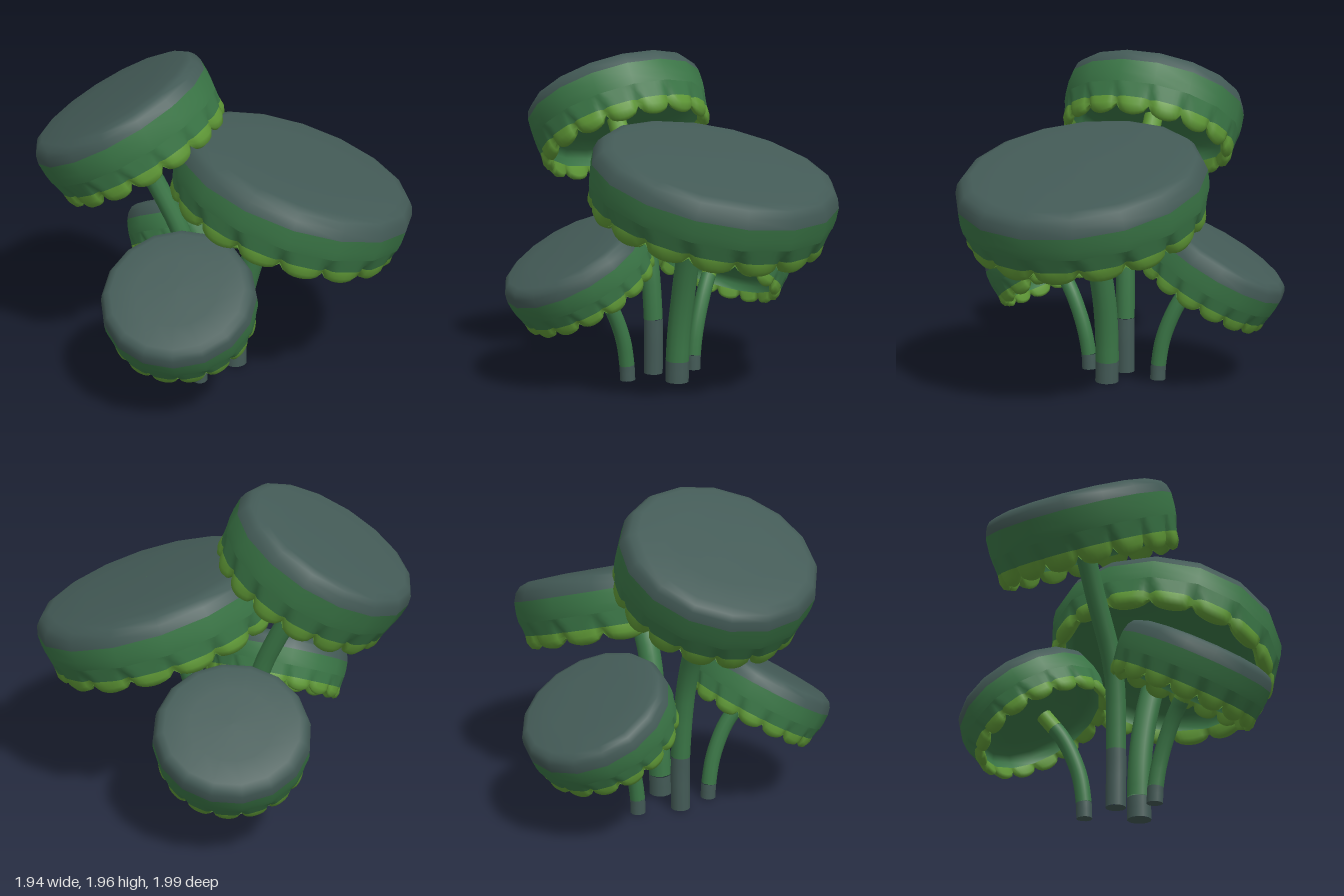
import * as THREE from 'three';

const mat = (name, color, side = THREE.FrontSide) => {
  const m = new THREE.MeshStandardMaterial({ color, side });
  m.name = name;
  return m;
};

const SIDES = 16;       // sides of each cap, one scallop per side
const PHASE = 0.07;

// Loft closed rings; each row is a function of lobe (0 at notches, 1 mid-scallop) giving [radius, height]
function loft(R, rows, steps) {
  const n = SIDES * steps, pos = [], idx = [];
  for (const row of rows) {
    for (let j = 0; j < n; j++) {
      const a = (j / n) * Math.PI * 2 + PHASE;
      const u = (j % steps) / steps;
      const polygon = Math.cos(Math.PI / SIDES) / Math.cos((u - 0.5) * 2 * Math.PI / SIDES);
      const [r, y] = row(Math.sin(u * Math.PI));
      pos.push(r * R * polygon * Math.cos(a), y, r * R * polygon * Math.sin(a));
    }
  }
  for (let i = 0; i < rows.length - 1; i++) {
    for (let j = 0; j < n; j++) {
      const k = (j + 1) % n;
      const a = i * n + j, b = i * n + k, c = a + n, d = b + n;
      idx.push(a, b, c, b, d, c);
    }
  }
  const g = new THREE.BufferGeometry();
  g.setAttribute('position', new THREE.Float32BufferAttribute(pos, 3));
  g.setIndex(idx);
  g.computeVertexNormals();
  return g;
}

function add(parent, name, geometry, material) {
  const m = new THREE.Mesh(geometry, material);
  m.name = name;
  parent.add(m);
  return m;
}

// Tilted cap: domed crown, green wall, scalloped rim and hollow underside
function makeCap({ R, h, crown, center, axis }, mats) {
  const cap = new THREE.Group();
  cap.name = 'cap';
  const notch = (lobe, depth) => depth * Math.pow(1 - lobe, 3);
  const drop = (lobe) => -h * (0.83 + 0.17 * Math.sqrt(lobe));
  const plain = (points) => points.map((p) => () => p);

  add(cap, 'crown', loft(R, plain([
    [0.001, crown], [0.55, crown * 0.98], [0.86, crown * 0.87], [0.94, crown * 0.66], [0.985, crown * 0.3], [1.01, -0.022],
  ]), 1), mats.slate);

  add(cap, 'wall', loft(R, plain([[1.01, -0.022], [1.012, -h * 0.3], [1.003, -h * 0.46]]), 1), mats.green);

  // notches cut up into the wall between the scallops
  add(cap, 'notchedWall', loft(R, [
    () => [1.003, -h * 0.46],
    (l) => [0.995 - notch(l, 0.02), -h * 0.58],
    (l) => [0.985 - notch(l, 0.055), -h * 0.72],
  ], 8), mats.green);

  add(cap, 'scallopedRim', loft(R, [
    (l) => [0.985 - notch(l, 0.055), -h * 0.72],
    (l) => [0.965 + 0.025 * l - notch(l, 0.05), (-h * 0.72 + drop(l)) / 2],
    (l) => [0.94 + 0.02 * l - notch(l, 0.04), drop(l) * 0.97],
    (l) => [0.91, drop(l)],
    (l) => [0.875 + notch(l, 0.01), drop(l) * 0.95],
    () => [0.86, -h * 0.76],
  ], 8), mats.lime);

  add(cap, 'underside', loft(R, plain([
    [0.86, -h * 0.76], [0.86, -h * 0.6], [0.8, -h * 0.47], [0.6, -h * 0.41], [0.001, -h * 0.37],
  ]), 1), mats.green);

  cap.position.set(...center);
  cap.quaternion.setFromUnitVectors(new THREE.Vector3(0, 1, 0), new THREE.Vector3(...axis).normalize());
  return cap;
}

// Bent stem split along its length into coloured sections
function makeStem({ stem: points, r, base, tip }, mats) {
  const stem = new THREE.Group();
  stem.name = 'stem';
  const curve = new THREE.CatmullRomCurve3(points.map((p) => new THREE.Vector3(...p)), false, 'centripetal');
  const section = (name, from, to, count, material) => {
    const pts = [];
    for (let i = 0; i <= count; i++) pts.push(curve.getPointAt(from + (to - from) * i / count));
    add(stem, name, new THREE.TubeGeometry(new THREE.CatmullRomCurve3(pts), count * 2, r, 12, false), material);
  };
  section('stemBase', 0, base, 3, mats.slate);
  section('stemShaft', base, tip, 8, mats.green);
  if (tip < 1) section('stemTip', tip, 1, 2, mats.lime);

  const foot = add(stem, 'stemFoot', new THREE.CircleGeometry(r, 12), mats.slate);
  foot.rotation.x = Math.PI / 2;
  foot.position.set(...points[0]);

  const end = add(stem, 'stemEnd', new THREE.CircleGeometry(r, 12), tip < 1 ? mats.lime : mats.green);
  end.position.copy(curve.getPointAt(1));
  end.quaternion.setFromUnitVectors(new THREE.Vector3(0, 0, 1), curve.getTangentAt(1));
  return stem;
}

export function createModel() {
  const model = new THREE.Group();
  model.name = 'mushroomCluster';
  const mats = {
    slate: mat('slate', 0x435a56),
    green: mat('green', 0x3b7747, THREE.DoubleSide),
    lime: mat('lime', 0x609a37, THREE.DoubleSide),
  };

  const mushrooms = [
    {
      name: 'largeMushroom', R: 0.708, h: 0.32, crown: 0.1, center: [0.279, 1.273, 0.302], axis: [0.22, 1, 0.23],
      stem: [[0.04, 0, 0.04], [0.045, 0.2, 0.04], [0.075, 0.5, 0.07], [0.135, 0.87, 0.16], [0.235, 1.13, 0.27]],
      r: 0.07, base: 0.107, tip: 1,
    },
    {
      name: 'tallMushroom', R: 0.549, h: 0.34, crown: 0.085, center: [-0.395, 1.66, -0.48], axis: [-0.365, 1, -0.415],
      stem: [[-0.12, 0, -0.15], [-0.12, 0.35, -0.15], [-0.16, 0.8, -0.18], [-0.26, 1.2, -0.32], [-0.38, 1.54, -0.455]],
      r: 0.058, base: 0.207, tip: 0.92,
    },
    {
      name: 'leftLowMushroom', R: 0.44, h: 0.26, crown: 0.08, center: [-0.565, 0.75, 0.178], axis: [-0.48, 1, 0.32],
      stem: [[-0.257, 0, 0.03], [-0.262, 0.1, 0.034], [-0.285, 0.27, 0.06], [-0.36, 0.48, 0.11], [-0.485, 0.64, 0.16]],
      r: 0.046, base: 0.13, tip: 0.85,
    },
    {
      name: 'rightLowMushroom', R: 0.44, h: 0.26, crown: 0.08, center: [0.297, 0.75, -0.57], axis: [0.32, 1, -0.48],
      stem: [[0.117, 0, -0.26], [0.119, 0.1, -0.265], [0.138, 0.27, -0.29], [0.18, 0.48, -0.37], [0.225, 0.64, -0.485]],
      r: 0.046, base: 0.13, tip: 0.85,
    },
  ];

  for (const m of mushrooms) {
    const g = new THREE.Group();
    g.name = m.name;
    g.add(makeCap(m, mats), makeStem(m, mats));
    model.add(g);
  }
  return model;
}
